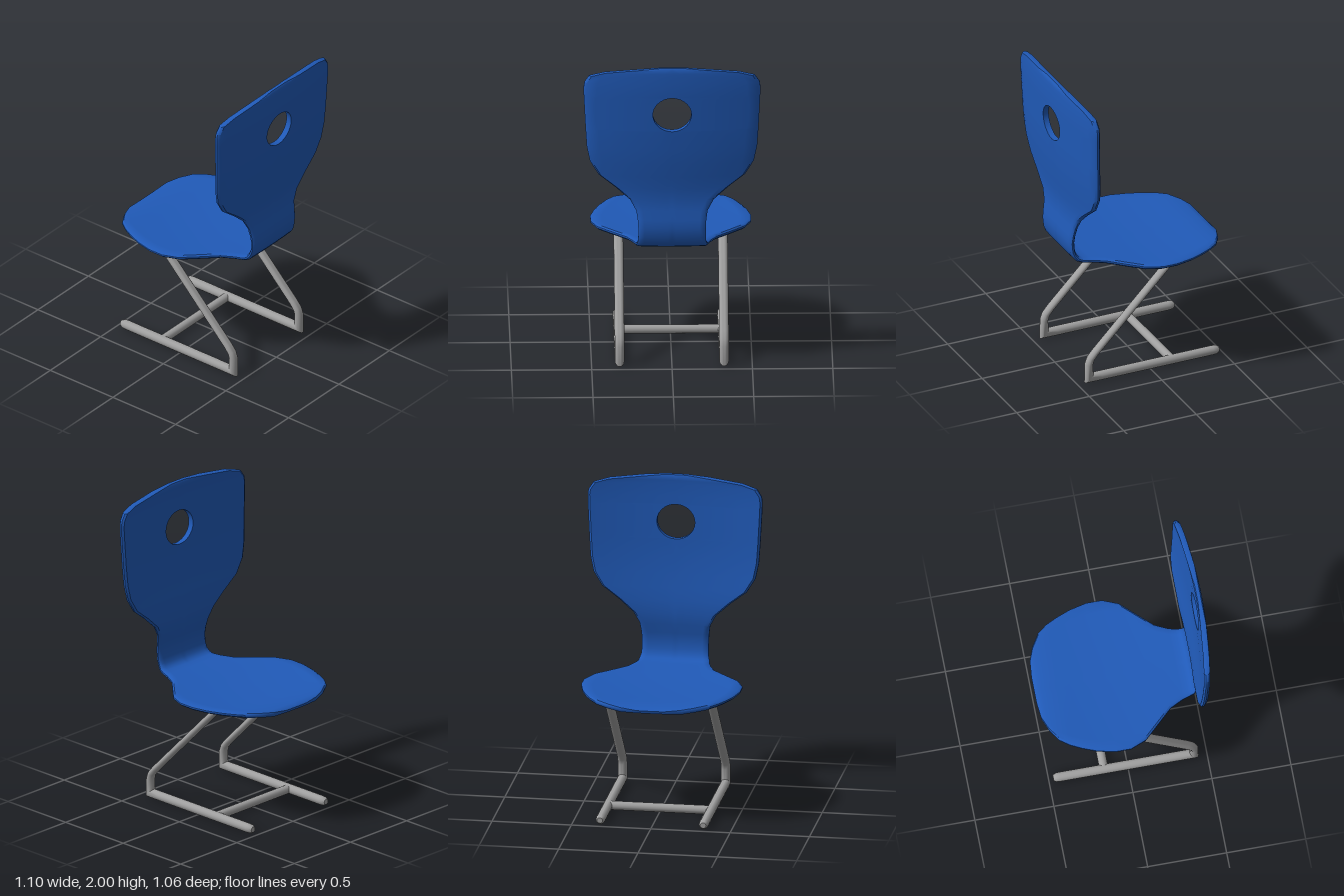
import * as THREE from 'three';
import { toCreasedNormals } from 'three/addons/utils/BufferGeometryUtils.js';

const HOLE = { y: 1.695, rx: 0.12, ry: 0.112 };

// Shell stations from seat front to top of back: [half width, y, z]
const lower = [
  [0.1, 0.77, -0.53], [0.2, 0.773, -0.52], [0.28, 0.778, -0.49], [0.36, 0.781, -0.44],
  [0.405, 0.78, -0.38], [0.44, 0.777, -0.31], [0.475, 0.774, -0.22], [0.5, 0.773, -0.11],
  [0.5, 0.774, -0.01], [0.46, 0.777, 0.09], [0.375, 0.782, 0.18], [0.28, 0.788, 0.28],
  [0.24, 0.793, 0.36], [0.225, 0.797, 0.41], [0.22, 0.81, 0.44], [0.212, 0.835, 0.46],
  [0.21, 0.87, 0.473], [0.21, 0.93, 0.479], [0.213, 0.98, 0.474], [0.222, 1.04, 0.463],
  [0.26, 1.11, 0.457], [0.35, 1.19, 0.462], [0.455, 1.27, 0.472], [0.51, 1.36, 0.484],
  [0.53, 1.46, 0.494],
];
const upper = [
  [0.55, 1.86, 0.512], [0.545, 1.895, 0.512], [0.515, 1.94, 0.511], [0.43, 1.965, 0.51],
  [0.22, 1.987, 0.508], [0.08, 2.0, 0.507],
];

function shellRows() {
  // extra stations across the hole, bunched near its top and bottom
  const mid = [];
  for (let k = 0; k <= 14; k++) {
    const c = -Math.cos((k / 14) * Math.PI);
    const f = (c + 1) / 2;
    mid.push([0.538 + 0.011 * f, HOLE.y + HOLE.ry * c, 0.502 + 0.009 * f,
      HOLE.rx * Math.sin((k / 14) * Math.PI)]);
  }
  mid[0][3] = mid[14][3] = 0;
  return [...lower, ...mid, ...upper];
}

// Dished sheet swept along the stations, made as two mirrored halves
function shellGeometry() {
  const rows = shellRows();
  const pos = [];
  const idx = [];
  const cols = 8;
  const m = 2 * (cols + 2);
  for (const s of [1, -1]) {
    const base = pos.length / 3;
    const at = (i, j) => base + i * m + (j % m);
    const quad = (a, b, c, d) => {
      if (s > 0) idx.push(a, b, c, a, c, d);
      else idx.push(a, c, b, a, d, c);
    };
    rows.forEach(([w, y, z, h = 0], i) => {
      const p = rows[Math.max(i - 1, 0)];
      const q = rows[Math.min(i + 1, rows.length - 1)];
      const len = Math.hypot(q[1] - p[1], q[2] - p[2]);
      const ny = (q[2] - p[2]) / len;
      const nz = -(q[1] - p[1]) / len;
      const rise = THREE.MathUtils.smoothstep(y, 0.8, 1.3);
      const dish = 0.08 + 0.09 * rise;
      const end = i === 0 || i === rows.length - 1 ? 0.6 : 1;
      const t = (0.015 + 0.004 * rise) * end;
      const half = [];
      for (let j = 0; j <= cols; j++) half.push([h + (w - 0.014 - h) * (j / cols), t]);
      half.push([w, t * 0.35]);
      const ring = [...half, ...half.slice().reverse().map(([x, o]) => [x, -o])];
      for (const [x, o] of ring) {
        const k = dish * x * x + o;
        pos.push(s * x, y + ny * k, z + nz * k);
      }
    });
    const last = rows.length - 1;
    for (let i = 0; i < last; i++) {
      const open = rows[i][3] > 0 || rows[i + 1][3] > 0;
      for (let j = 0; j < m; j++) {
        if (j === m - 1 && !open) continue;
        quad(at(i, j), at(i + 1, j), at(i + 1, j + 1), at(i, j + 1));
      }
    }
    // close the front lip and the top edge
    for (let j = 0; j <= cols; j++) {
      quad(at(0, j), at(0, j + 1), at(0, m - 2 - j), at(0, m - 1 - j));
      quad(at(last, j + 1), at(last, j), at(last, m - 1 - j), at(last, m - 2 - j));
    }
  }
  return build(pos, idx, 0.7);
}

function build(pos, idx, crease) {
  const g = new THREE.BufferGeometry();
  g.setAttribute('position', new THREE.Float32BufferAttribute(pos, 3));
  g.setIndex(idx);
  return toCreasedNormals(g, crease);
}

// Mitred tube in the side plane; path points are [z, y, in-plane radius, x radius]
function legGeometry(path, sides = 14) {
  const pos = [];
  const idx = [];
  const dir = (a, b) => new THREE.Vector2(b[0] - a[0], b[1] - a[1]).normalize();
  const n = path.length;
  path.forEach((p, i) => {
    const a = i > 0 ? dir(path[i - 1], p) : dir(p, path[1]);
    const b = i < n - 1 ? dir(p, path[i + 1]) : a;
    const t = a.clone().add(b).normalize();
    const r = p[2] / t.dot(b);
    for (let j = 0; j < sides; j++) {
      const ang = (j / sides) * Math.PI * 2;
      const k = Math.sin(ang) * r;
      pos.push(Math.cos(ang) * p[3], p[1] + t.x * k, p[0] - t.y * k);
    }
  });
  for (let i = 0; i < n - 1; i++) {
    for (let j = 0; j < sides; j++) {
      const a = i * sides + j;
      const b = i * sides + ((j + 1) % sides);
      idx.push(a, b + sides, b, a, a + sides, b + sides);
    }
  }
  const e = (n - 1) * sides;
  for (let j = 1; j < sides - 1; j++) {
    idx.push(0, j, j + 1, e, e + j + 1, e + j);
  }
  // orient outward
  for (let k = 0; k < idx.length; k += 3) {
    if (k < 6 * sides * (n - 1)) [idx[k + 1], idx[k + 2]] = [idx[k + 2], idx[k + 1]];
    else [idx[k + 1], idx[k + 2]] = [idx[k + 2], idx[k + 1]];
  }
  return build(pos, idx, 0.8);
}

export function createModel() {
  const blue = new THREE.MeshStandardMaterial({ color: 0x205ab8 });
  blue.name = 'blue shell';
  blue.side = THREE.DoubleSide;
  const grey = new THREE.MeshStandardMaterial({ color: 0xa0a0a0 });
  grey.name = 'grey metal';
  grey.side = THREE.DoubleSide;

  const model = new THREE.Group();
  model.name = 'chair';
  const add = (name, geometry, material) => {
    const mesh = new THREE.Mesh(geometry, material);
    mesh.name = name;
    model.add(mesh);
    return mesh;
  };

  // one-piece seat and back
  add('seatShell', shellGeometry(), blue);

  // bent legs: floor runner, upright, bend, sloping support
  const leg = legGeometry([
    [-0.472, 0.03, 0.018, 0.018], [-0.455, 0.03, 0.028, 0.028], [-0.43, 0.03, 0.03, 0.03],
    [0.34, 0.03, 0.03, 0.03], [0.42, 0.03, 0.029, 0.03], [0.42, 0.125, 0.025, 0.03],
    [0.408, 0.162, 0.023, 0.03], [0.375, 0.202, 0.022, 0.03], [-0.175, 0.762, 0.022, 0.03],
  ]);
  for (const s of [1, -1]) {
    add(s > 0 ? 'leftLeg' : 'rightLeg', leg, grey).position.x = s * 0.325;
  }

  // floor crossbar
  const bar = add('crossbar', new THREE.CylinderGeometry(0.028, 0.028, 0.65, 14), grey);
  bar.rotation.z = Math.PI / 2;
  bar.position.set(0, 0.03, -0.15);
  return model;
}
